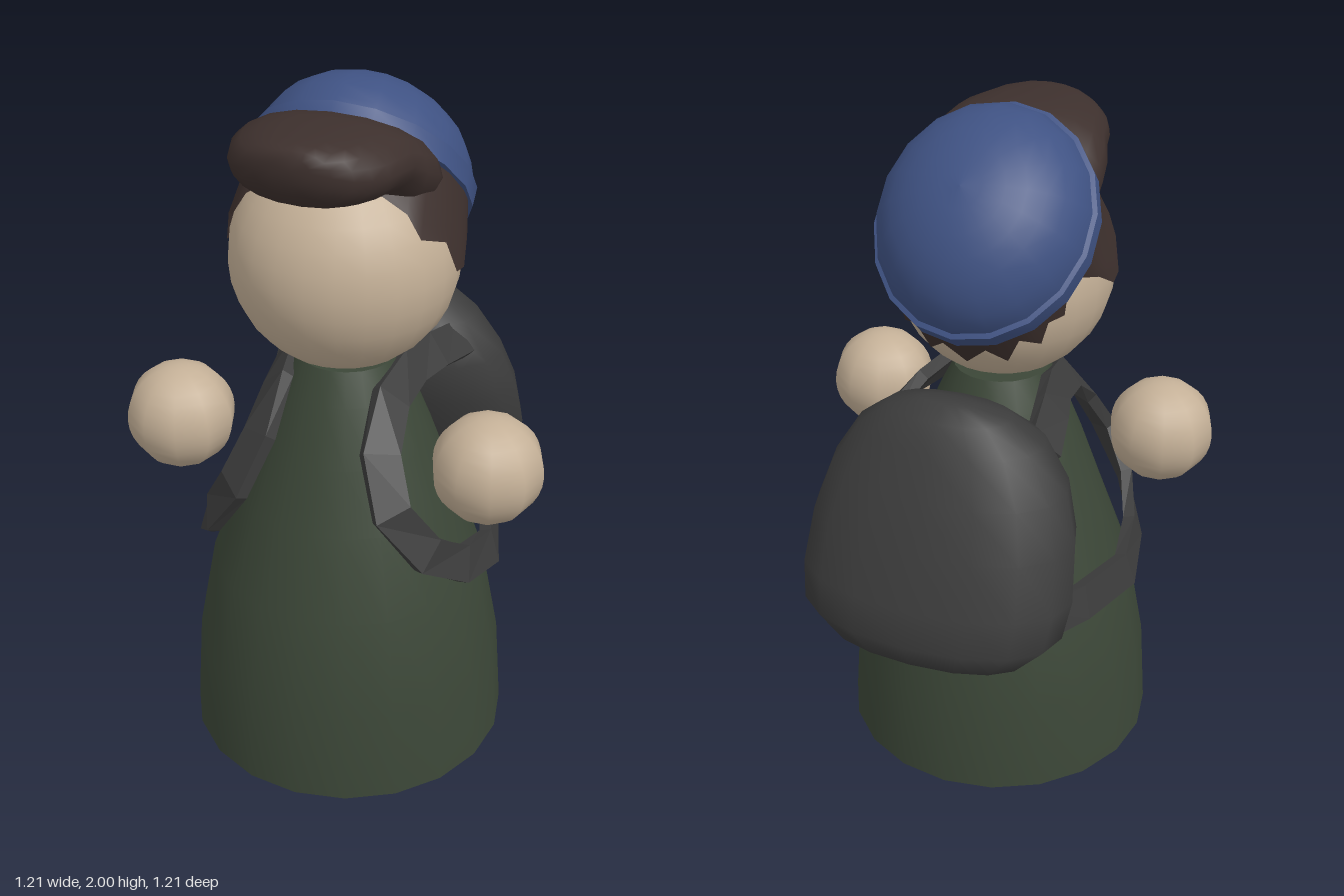
import * as THREE from 'three';
import { toCreasedNormals } from 'three/addons/utils/BufferGeometryUtils.js';

const V = (x, y, z) => new THREE.Vector3(x, y, z);
const mat = (color, extra = {}) => new THREE.MeshStandardMaterial({ color, ...extra });
const green = mat(0x3b4637, { side: THREE.DoubleSide });
const skin = mat(0xc4b097);
const hairMat = mat(0x3d302d, { side: THREE.DoubleSide });
const blue = mat(0x3f5283, { side: THREE.DoubleSide });
const packMat = mat(0x3c3c3c);
const strapMat = mat(0x3c3c3c, { flatShading: true });

function add(parent, name, geometry, material, x = 0, y = 0, z = 0) {
  const mesh = new THREE.Mesh(geometry, material);
  mesh.name = name;
  mesh.position.set(x, y, z);
  parent.add(mesh);
  return mesh;
}

const lathe = (pts, seg) => new THREE.LatheGeometry(pts.map(p => new THREE.Vector2(...p)), seg);

// Skins closed rings of points; rings run anticlockwise about the travel direction
function loft(rings, capped = true) {
  const n = rings[0].length, m = rings.length, pos = [], idx = [];
  rings.forEach(r => r.forEach(p => pos.push(p.x, p.y, p.z)));
  for (let i = 0; i < m - 1; i++) {
    for (let j = 0; j < n; j++) {
      const k = (j + 1) % n, a = i * n + j, b = i * n + k;
      idx.push(a, b, a + n, b, b + n, a + n);
    }
  }
  if (capped) {
    [0, m - 1].forEach((i, end) => {
      const c = rings[i].reduce((s, p) => s.add(p), V(0, 0, 0)).divideScalar(n);
      const ci = pos.length / 3;
      pos.push(c.x, c.y, c.z);
      for (let j = 0; j < n; j++) {
        const a = i * n + j, b = i * n + (j + 1) % n;
        end ? idx.push(ci, a, b) : idx.push(ci, b, a);
      }
    });
  }
  const g = new THREE.BufferGeometry();
  g.setAttribute('position', new THREE.Float32BufferAttribute(pos, 3));
  g.setIndex(idx);
  g.computeVertexNormals();
  return g;
}

// Rounded-square outline as [u, v] pairs in -1..1
function superellipse(n, power) {
  const f = t => Math.sign(t) * Math.pow(Math.abs(t), 2 / power);
  return Array.from({ length: n }, (_, i) => {
    const a = i / n * Math.PI * 2;
    return [f(Math.cos(a)), f(Math.sin(a))];
  });
}

function packGeometry() {
  // y, front z, back z, half width
  const sections = [
    [0.595, -0.40, -0.52, 0.19], [0.62, -0.30, -0.57, 0.30], [0.70, -0.20, -0.605, 0.385],
    [0.80, -0.16, -0.575, 0.40], [0.95, -0.10, -0.525, 0.385], [1.08, -0.075, -0.465, 0.345],
    [1.20, -0.10, -0.405, 0.27], [1.27, -0.17, -0.355, 0.18], [1.30, -0.24, -0.30, 0.08],
  ];
  const outline = superellipse(16, 2.2);
  return loft(sections.map(([y, f, b, w]) =>
    outline.map(([u, v]) => V(u * w, y, (f + b) / 2 - v * (f - b) / 2))));
}

// Swept-forward fringe that widens into the hair behind it
function quiffGeometry() {
  // z, bottom y, top y, half width
  const sections = [
    [0.08, 1.62, 1.86, 0.26], [0.18, 1.66, 1.93, 0.27], [0.25, 1.70, 1.955, 0.26],
    [0.30, 1.755, 1.96, 0.242], [0.36, 1.768, 1.96, 0.23], [0.41, 1.77, 1.958, 0.213],
    [0.455, 1.78, 1.957, 0.185], [0.49, 1.797, 1.953, 0.15], [0.515, 1.83, 1.945, 0.10],
    [0.528, 1.865, 1.93, 0.05],
  ];
  const outline = superellipse(20, 2.2);
  return loft(sections.map(([z, b, t, w]) =>
    outline.map(([u, v]) => V(u * w, (b + t) / 2 + v * (t - b) / 2, z))));
}

// Jagged skirt of hair, from its tips on the head up to the cap's rim
function hairGeometry() {
  // azimuth from the front, polar angle of the tips (degrees)
  const half = [
    [0, 80], [14, 80], [28, 82], [42, 86], [52, 94], [67, 88], [83, 95], [91, 89], [95, 72],
    [102, 60], [113, 59], [122, 66], [131, 63], [140, 72], [149, 64], [159, 76], [168, 66], [180, 76],
  ];
  const tips = [...half, ...half.slice(1, -1).reverse().map(([a, p]) => [360 - a, p])];
  const rows = 5, rings = [];
  for (let i = 0; i <= rows; i++) {
    rings.push(tips.map(([az, polar]) => {
      const a = THREE.MathUtils.degToRad(az), p = THREE.MathUtils.degToRad(polar);
      const tip = V(Math.sin(p) * Math.sin(a), Math.cos(p), Math.sin(p) * Math.cos(a)).multiplyScalar(0.328);
      const top = V(0.297 * Math.sin(a), 0.205, 0.034 + 0.325 * Math.cos(a));
      tip.lerp(top, i / rows);
      return tip.setLength(Math.max(tip.length(), 0.326));
    }));
  }
  return loft(rings, false);
}

// Flat band following the shoulder, chest and waist
function strapGeometry() {
  const curve = new THREE.CatmullRomCurve3([
    V(0.27, 0.66, -0.34), V(0.36, 0.64, -0.14), V(0.42, 0.625, 0.08), V(0.39, 0.67, 0.25),
    V(0.32, 0.77, 0.38), V(0.23, 0.91, 0.425), V(0.175, 1.05, 0.36), V(0.165, 1.16, 0.24),
    V(0.18, 1.19, 0.10), V(0.21, 1.185, -0.02), V(0.24, 1.15, -0.18),
  ]);
  const rings = [];
  for (let i = 0; i <= 10; i++) {
    const p = curve.getPoint(i / 10), t = curve.getTangent(i / 10);
    const n = V(p.x, 0.12, p.z - 0.13);
    n.addScaledVector(t, -n.dot(t)).normalize();
    const w = n.clone().cross(t);
    rings.push([[1, 1], [-1, 1], [-1, -1], [1, -1]].map(([a, b]) =>
      p.clone().addScaledVector(w, a * 0.053).addScaledVector(n, b * 0.018)));
  }
  return loft(rings);
}

export function createModel() {
  const model = new THREE.Group();
  model.name = 'figure';

  // Hollow bell-shaped body, open underneath
  const body = lathe([[0.475, 0], [0.455, 0.28], [0.40, 0.57], [0.315, 0.80],
    [0.25, 0.98], [0.185, 1.14], [0.14, 1.23], [0, 1.24]], 20);
  add(model, 'body', toCreasedNormals(body, 0.7), green, 0, 0, 0.13);

  // Head and floating hands
  add(model, 'head', new THREE.SphereGeometry(0.315, 24, 16), skin, 0, 1.53, 0.145);
  for (const s of [1, -1]) {
    add(model, s > 0 ? 'leftHand' : 'rightHand',
      new THREE.SphereGeometry(0.155, 10, 16), skin, s * 0.452, 1.018, 0.275);
  }

  // Hair skirt and cap share one backward tilt
  const headwear = new THREE.Group();
  headwear.name = 'headwear';
  headwear.position.set(0, 1.53, 0.14);
  headwear.rotation.x = THREE.MathUtils.degToRad(-47);
  model.add(headwear);
  add(headwear, 'hair', hairGeometry(), hairMat);
  const dome = [];
  for (let i = 0; i <= 8; i++) {
    const a = i / 8 * Math.PI / 2;
    dome.push([0.318 * Math.cos(a), 0.03 + 0.248 * Math.sin(a)]);
  }
  dome[8][0] = 0;
  const band = lathe([[0.305, 0], [0.328, 0], [0.328, 0.055], [0.305, 0.062]], 18);
  for (const [name, g] of [['capDome', lathe(dome, 18)], ['capBand', toCreasedNormals(band, 0.6)]]) {
    add(headwear, name, g, blue, 0, 0.189, 0.036).scale.set(0.95, 1, 1.05);
  }
  add(model, 'quiff', quiffGeometry(), hairMat);

  // Backpack and its mirrored straps
  add(model, 'backpack', packGeometry(), packMat);
  for (const s of [1, -1]) {
    add(model, s > 0 ? 'leftStrap' : 'rightStrap', strapGeometry(), strapMat).scale.x = s;
  }
  return model;
}
